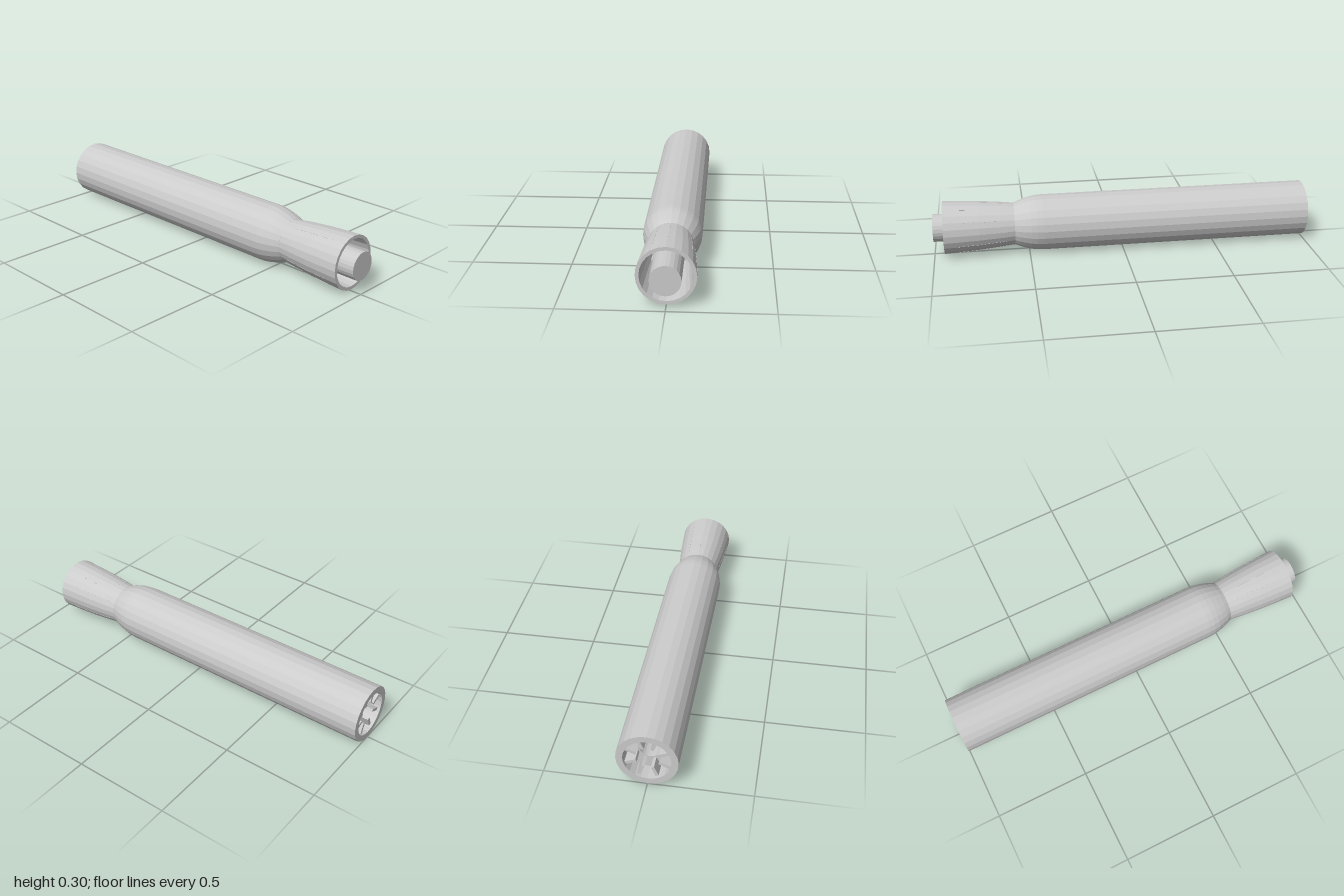
import * as THREE from 'three';

const SIDES = 24;
const AXIS_Y = 0.1485;

function material() {
  return new THREE.MeshStandardMaterial({ color: 0xcccccc, flatShading: true });
}

// Revolves [radius, z] pairs about the z axis
function revolve(name, profile) {
  const points = profile.map(([r, z]) => new THREE.Vector2(r, z));
  const geometry = new THREE.LatheGeometry(points, SIDES).rotateX(Math.PI / 2);
  const mesh = new THREE.Mesh(geometry, material());
  mesh.name = name;
  return mesh;
}

// Thin radial plates: outline in [radius, z], repeated at the given angles
function radialPlates(name, outline, thickness, angles) {
  const group = new THREE.Group();
  group.name = name + 's';
  const shape = new THREE.Shape(outline.map(([r, z]) => new THREE.Vector2(r, z)));
  const geometry = new THREE.ExtrudeGeometry(shape, { depth: thickness, bevelEnabled: false });
  geometry.translate(0, 0, -thickness / 2).rotateX(Math.PI / 2);
  for (const angle of angles) {
    const plate = new THREE.Mesh(geometry, material());
    plate.name = name;
    plate.rotation.z = angle;
    group.add(plate);
  }
  return group;
}

const around = (count, offset = 0) =>
  Array.from({ length: count }, (_, i) => offset + (i * 2 * Math.PI) / count);

export function createModel() {
  const model = new THREE.Group();
  model.name = 'handle';
  const assembly = new THREE.Group();
  assembly.name = 'handleAssembly';
  assembly.position.y = AXIS_Y;
  model.add(assembly);

  // Grip tube, open at the back, with a rounded shoulder down to the neck
  assembly.add(revolve('gripBody', [
    [0, -0.82], [0.05, -0.82], [0.05, -0.92], [0.115, -0.92], [0.115, -1],
    [0.148, -1], [0.148, 0.43], [0.146, 0.46], [0.141, 0.49],
    [0.133, 0.52], [0.123, 0.55], [0.112, 0.575], [0, 0.575],
  ]));

  // Flared hollow collar in front of the neck
  assembly.add(revolve('flaredCollar', [
    [0.111, 0.57], [0.12, 0.65], [0.13, 0.76], [0.136, 0.86], [0.14, 0.945],
    [0.123, 0.945], [0.119, 0.86], [0.112, 0.74], [0.1, 0.6], [0, 0.6],
  ]));

  // Central rod showing beyond the collar mouth
  assembly.add(revolve('coreRod', [[0.073, 0.58], [0.073, 1], [0, 1]]));

  // Narrow ribs just breaking through the collar's outer surface
  assembly.add(radialPlates('collarRib', [
    [0.108, 0.62], [0.1175, 0.62], [0.1207, 0.65], [0.1307, 0.76], [0.1372, 0.87], [0.128, 0.87],
  ], 0.004, around(12)));

  // Short ribs on the collar floor beside the rod
  const diagonals = around(12).filter((_, i) => i % 3 !== 0);
  assembly.add(radialPlates('floorRib', [
    [0.08, 0.595], [0.106, 0.595], [0.108, 0.66], [0.08, 0.63],
  ], 0.006, diagonals));

  // Fins inside the open back end
  assembly.add(radialPlates('rearFin', [
    [0.058, -0.985], [0.118, -0.985], [0.118, -0.915], [0.058, -0.915],
  ], 0.016, around(8, Math.PI / 8)));

  return model;
}
